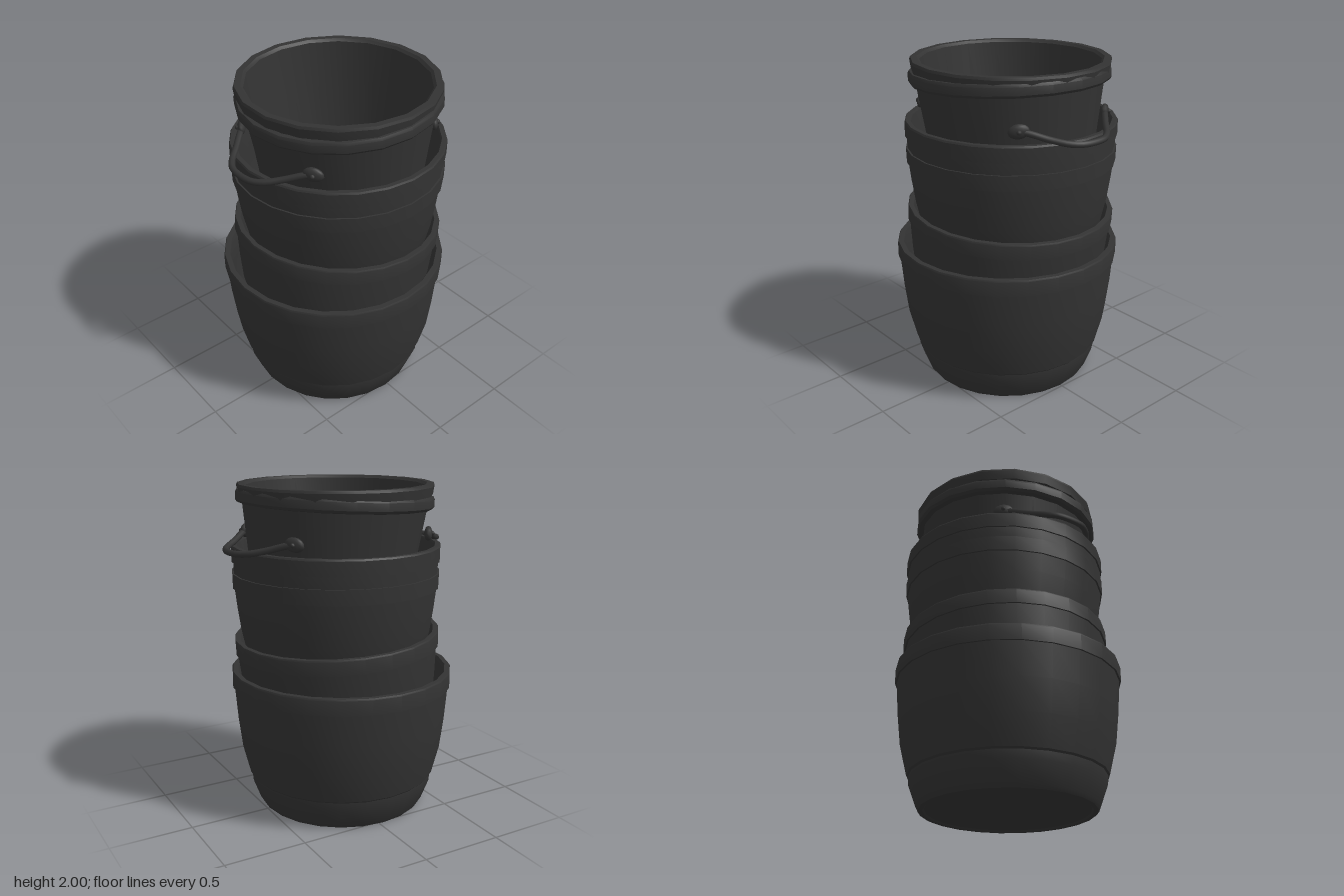
import * as THREE from 'three';
import { toCreasedNormals } from 'three/addons/utils/BufferGeometryUtils.js';

const material = new THREE.MeshStandardMaterial({ color: 0x333333 });

// Mesh turned from [radius, height] pairs, outside going up and inside going down
function turned(name, profile, sides) {
  const points = profile.map(([r, y]) => new THREE.Vector2(r, y));
  const geometry = toCreasedNormals(new THREE.LatheGeometry(points, sides), 0.5);
  const mesh = new THREE.Mesh(geometry, material);
  mesh.name = name;
  return mesh;
}

// Heavy open tub with a straight collar round its mouth
function tub(name) {
  return turned(name, [
    [0, 0.01], [0.48, 0.01], [0.49, 0], [0.515, 0], [0.53, 0.02], [0.575, 0.14], [0.58, 0.19],
    [0.59, 0.2], [0.635, 0.38], [0.658, 0.57], [0.674, 0.77], [0.685, 0.77],
    [0.685, 0.86], [0.68, 0.87], [0.65, 0.87], [0.645, 0.86], [0.638, 0.7],
    [0.6, 0.38], [0.5, 0.06], [0, 0.06],
  ], 24);
}

// Tub with a second raised hoop below the collar
function hoopedTub(name) {
  return turned(name, [
    [0, 0], [0.45, 0], [0.49, 0.05], [0.55, 0.2], [0.585, 0.36], [0.605, 0.5], [0.618, 0.615],
    [0.628, 0.615], [0.63, 0.705], [0.62, 0.705], [0.622, 0.775], [0.632, 0.775],
    [0.632, 0.86], [0.626, 0.87], [0.6, 0.87], [0.594, 0.86], [0.582, 0.6],
    [0.55, 0.36], [0.45, 0.05], [0, 0.05],
  ], 24);
}

// Carrying loop with its two riveted ears, on the +x side
function handle(name) {
  const group = new THREE.Group();
  group.name = name;
  const half = [[0.43, 1.71, 0.345], [0.49, 1.695, 0.29], [0.57, 1.665, 0.215],
    [0.645, 1.645, 0.145], [0.685, 1.638, 0.075]];
  const mirrored = half.map(([x, y, z]) => [x, y, -z]).reverse();
  const path = [...half, ...mirrored].map((p) => new THREE.Vector3(...p));
  const grip = new THREE.Mesh(
    new THREE.TubeGeometry(new THREE.CatmullRomCurve3(path), 32, 0.019, 8), material);
  grip.name = 'handleGrip';
  group.add(grip);
  for (const side of [1, -1]) {
    const ear = new THREE.Group();
    ear.name = 'handleEar';
    const plate = new THREE.Mesh(new THREE.SphereGeometry(1, 12, 8), material);
    plate.scale.set(0.06, 0.042, 0.025);
    plate.rotation.z = side * 0.15;
    plate.name = 'earPlate';
    const rivet = new THREE.Mesh(new THREE.SphereGeometry(0.014, 8, 6), material);
    rivet.position.set(0, 0, 0.024);
    rivet.name = 'rivet';
    ear.add(plate, rivet);
    ear.position.set(0.45, 1.705, side * 0.33);
    ear.rotation.y = Math.atan2(0.45, side * 0.33);
    group.add(ear);
  }
  return group;
}

export function createModel() {
  const model = new THREE.Group();
  model.name = 'stackedBuckets';

  const bottomTub = tub('bottomTub');
  bottomTub.position.x = -0.03;

  // Leaning tub, slightly smaller
  const secondTub = tub('secondTub');
  secondTub.scale.setScalar(0.92);
  secondTub.position.set(-0.04, 0.302, 0);
  secondTub.rotation.z = -0.056;

  const thirdTub = hoopedTub('thirdTub');
  thirdTub.position.set(0.01, 0.775, 0);

  // Tilted pail with a rolled rim
  const pail = turned('tiltedPail', [
    [0, 0], [0.41, 0], [0.43, 0.02], [0.55, 0.85], [0.58, 0.855], [0.592, 0.87],
    [0.592, 0.915], [0.584, 0.93], [0.56, 0.933], [0.545, 0.92], [0.42, 0.03], [0, 0.03],
  ], 20);
  pail.position.set(0.055, 1.015, 0.01);
  pail.rotation.z = 0.05;

  // Innermost pail, sitting level in the tilted one
  const innerPail = turned('innerPail', [
    [0, 0], [0.42, 0], [0.54, 0.82], [0.58, 0.83], [0.588, 0.885], [0.582, 0.9],
    [0.545, 0.9], [0.53, 0.885], [0.408, 0.03], [0, 0.03],
  ], 18);
  innerPail.position.set(0.01, 1.1, 0.003);

  const leftHandle = handle('leftHandle');
  const rightHandle = handle('rightHandle');
  rightHandle.rotation.y = Math.PI;
  leftHandle.position.x = 0.005;
  rightHandle.position.x = 0.015;

  model.add(bottomTub, secondTub, thirdTub, pail, innerPail, leftHandle, rightHandle);
  return model;
}
